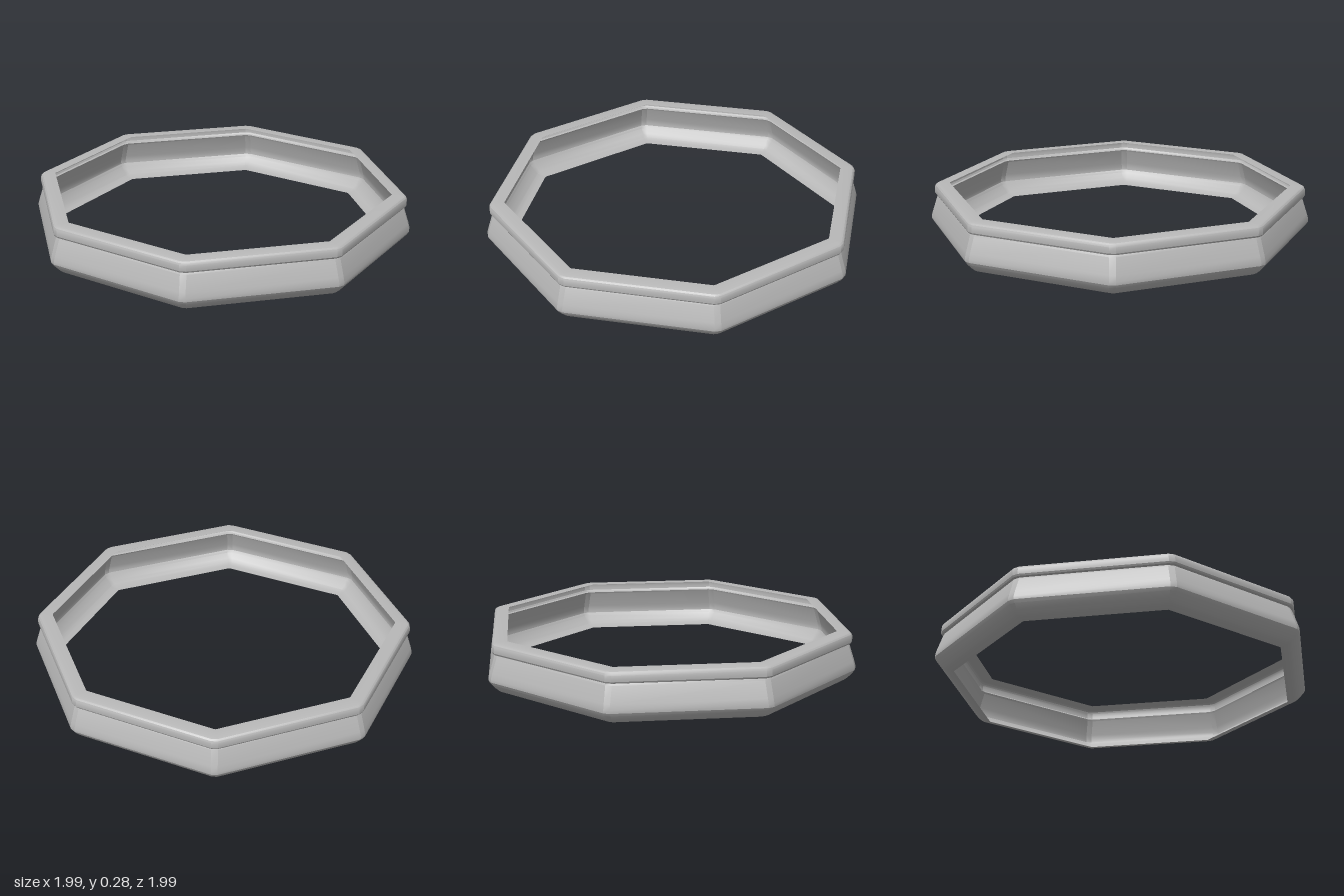
import * as THREE from 'three';
import { toCreasedNormals } from 'three/addons/utils/BufferGeometryUtils.js';

const SIDES = 8;

// Cross-sections [distance from the axis to a flat side, height, corner bevel]
const baseProfile = [
  [0.89, 0, 0.002], [0.92, 0.003, 0.008], [0.943, 0.013, 0.012], [0.962, 0.03, 0.015],
  [0.985, 0.057, 0.018], [0.994, 0.073, 0.018], [0.995, 0.09, 0.018], [0.987, 0.12, 0.018],
  [0.961, 0.205, 0.018], [0.956, 0.215, 0.018],
];
const rimProfile = [
  [0.956, 0.215, 0.018], [0.967, 0.219, 0.018], [0.972, 0.228, 0.018], [0.973, 0.24, 0.018],
  [0.972, 0.26, 0.018], [0.968, 0.27, 0.018], [0.96, 0.277, 0.016], [0.945, 0.281, 0.012],
  [0.89, 0.281, 0.002],
];

// Sweeps a cross-section around an octagon with narrow bevelled corners
function octagonBand(profile) {
  const positions = [];
  const index = [];
  const ring = SIDES * 2;
  for (const [r, y, bevel] of profile) {
    const half = r * Math.tan(Math.PI / SIDES) - bevel;
    for (let k = 0; k < SIDES; k++) {
      const a = (k * 2 * Math.PI) / SIDES;
      for (const s of [-half, half]) {
        positions.push(r * Math.cos(a) - s * Math.sin(a), y, r * Math.sin(a) + s * Math.cos(a));
      }
    }
  }
  for (let j = 0; j < profile.length - 1; j++) {
    for (let i = 0; i < ring; i++) {
      const a = j * ring + i;
      const b = j * ring + ((i + 1) % ring);
      index.push(a, a + ring, b, b, a + ring, b + ring);
    }
  }
  const geometry = new THREE.BufferGeometry();
  geometry.setAttribute('position', new THREE.Float32BufferAttribute(positions, 3));
  geometry.setIndex(index);
  return toCreasedNormals(geometry, 0.37);
}

export function createModel() {
  const group = new THREE.Group();
  group.name = 'octagonalRing';
  const grey = new THREE.MeshStandardMaterial({ color: 0xb8b8b8, side: THREE.DoubleSide });
  grey.name = 'grey';

  // Flared wall curling in at the foot
  const wall = new THREE.Mesh(octagonBand(baseProfile), grey);
  wall.name = 'wall';

  // Rounded rim with an inward lip
  const rim = new THREE.Mesh(octagonBand(rimProfile), grey);
  rim.name = 'rim';

  group.add(wall, rim);
  return group;
}
